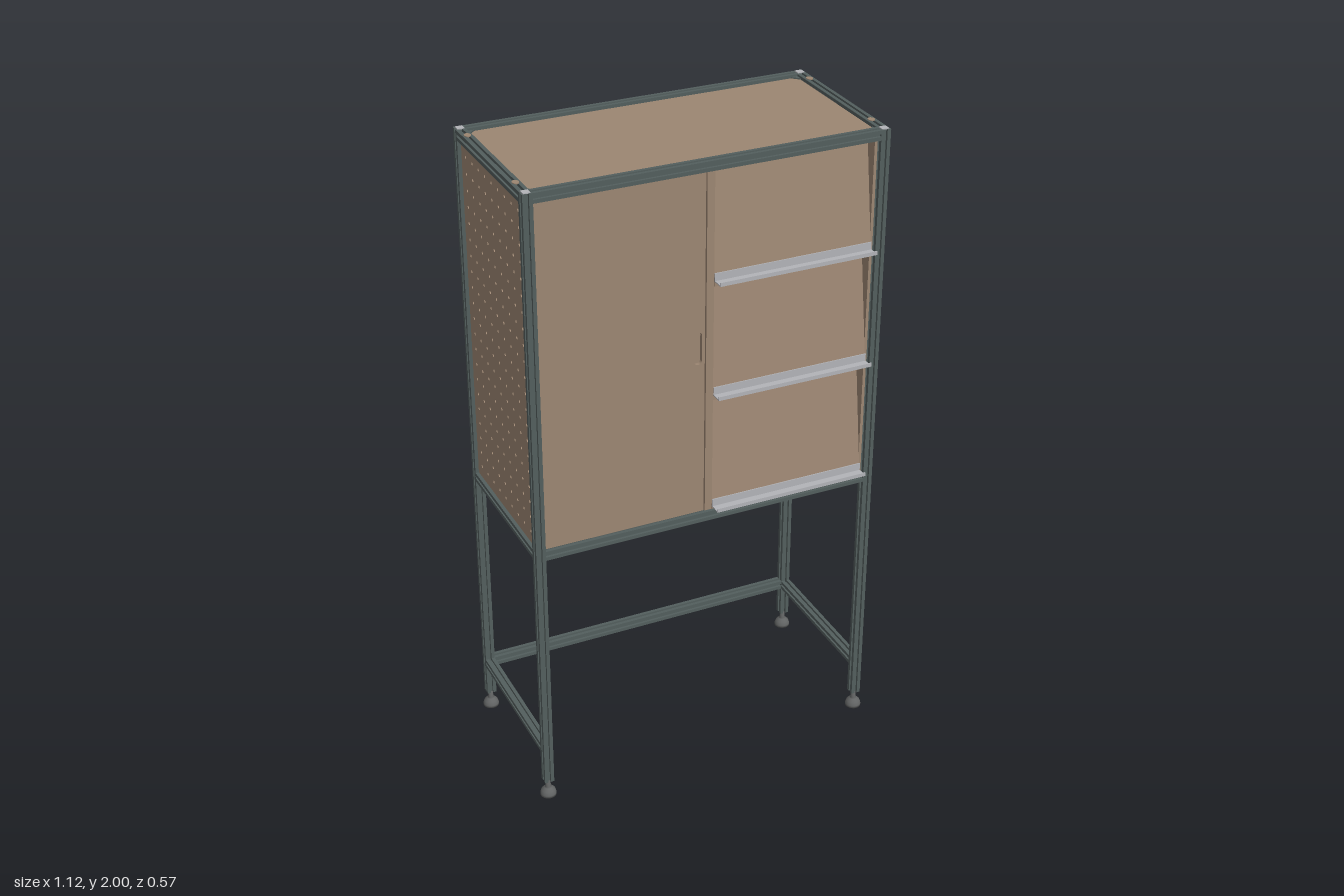
import * as THREE from 'three';

const mat = (name, color) => {
  const m = new THREE.MeshStandardMaterial({ color });
  m.name = name;
  return m;
};

export function createModel() {
  const root = new THREE.Group();
  root.name = 'cabinetOnStand';
  const frameMat = mat('darkFrame', 0x535e5d);
  const boardMat = mat('brownBoard', 0x9c8672);
  const lipMat = mat('lightGrey', 0xb2b3b8);
  const footMat = mat('footGrey', 0x626464);
  const boltMat = mat('black', 0x1c1e1e);

  const X = 0.535, ZF = 0.241, ZB = -0.258, ZC = (ZF + ZB) / 2, W = 0.03;
  const innerX = 2 * X - W, innerZ = ZF - ZB - W;

  const add = (name, geo, material, x = 0, y = 0, z = 0) => {
    const m = new THREE.Mesh(geo, material);
    m.name = name;
    m.position.set(x, y, z);
    root.add(m);
    return m;
  };
  const box = (name, material, x0, x1, y0, y1, z0, z1) =>
    add(name, new THREE.BoxGeometry(x1 - x0, y1 - y0, z1 - z0), material,
      (x0 + x1) / 2, (y0 + y1) / 2, (z0 + z1) / 2);

  // Square bar section with a groove in each side
  const h = W / 2, s = 0.004, d = 0.008;
  const quarter = [[-h, -h], [-s, -h], [-s, -h + d], [s, -h + d], [s, -h]];
  const section = new THREE.Shape();
  for (let k = 0; k < 4; k++) {
    const c = [1, 0, -1, 0][k], n = [0, 1, 0, -1][k];
    quarter.forEach(([x, y], i) => {
      const px = x * c - y * n, py = x * n + y * c;
      if (k === 0 && i === 0) section.moveTo(px, py);
      else section.lineTo(px, py);
    });
  }
  section.closePath();
  const bar = (name, axis, length, x, y, z) => {
    const g = new THREE.ExtrudeGeometry(section, { depth: length, bevelEnabled: false });
    g.translate(0, 0, -length / 2);
    if (axis === 'x') g.rotateY(Math.PI / 2);
    if (axis === 'y') g.rotateX(-Math.PI / 2);
    return add(name, g, frameMat, x, y, z);
  };

  // Posts with end caps and levelling feet
  const footProfile = [[0, 0], [0.025, 0], [0.025, 0.008], [0.021, 0.019], [0.012, 0.027],
    [0.008, 0.03], [0.008, 0.056], [0, 0.056]].map(p => new THREE.Vector2(...p));
  for (const x of [-X, X]) for (const z of [ZF, ZB]) {
    bar('post', 'y', 1.943, x, 0.055 + 1.943 / 2, z);
    box('postCap', lipMat, x - 0.011, x + 0.011, 1.997, 2, z - 0.011, z + 0.011);
    add('foot', new THREE.LatheGeometry(footProfile, 20), footMat, x, 0, z);
  }

  // Rails; the stand is open at the front
  for (const y of [0.175, 0.875, 1.983]) {
    for (const x of [-X, X]) bar('sideRail', 'z', innerZ, x, y, ZC);
    bar('backRail', 'x', innerX, 0, y, ZB);
    if (y > 0.5) bar('frontRail', 'x', innerX, 0, y, ZF);
  }
  bar('centreRail', 'z', innerZ, 0, 0.875, ZC);

  // Plugs on the top side rails
  for (const x of [-X, X]) for (const z of [-0.195, 0.17]) {
    const plug = add('railPlug', new THREE.CylinderGeometry(0.01, 0.01, 0.003, 16), boardMat, x, 1.9985, z);
    plug.scale.z = 1.25;
  }

  // Fixed boards held in the frame grooves
  const t = 0.004, x1 = X - h + 0.004, y0 = 0.886, y1 = 1.972;
  const zb = ZB + h - 0.004, zf = ZF - h + 0.004;
  box('topBoard', boardMat, -x1, x1, 1.981, 1.988, zb, zf);
  box('bottomBoard', boardMat, -x1, x1, 0.872, 0.879, zb, zf);
  box('backBoard', boardMat, -x1, x1, y0, y1, ZB - t, ZB + t);
  box('rightBoard', boardMat, X - t, X + t, y0, y1, zb, zf);

  // Corner gussets above the top board
  const tri = new THREE.Shape([[0, 0], [0.022, 0], [0, 0.022]].map(p => new THREE.Vector2(...p)));
  [[-1, ZB + h, 0], [-1, ZF - h, 1], [1, ZF - h, 2], [1, ZB + h, 3]].forEach(([sx, z, k]) => {
    const g = new THREE.ExtrudeGeometry(tri, { depth: 0.004, bevelEnabled: false });
    g.rotateX(Math.PI / 2);
    g.rotateY(k * Math.PI / 2);
    add('cornerGusset', g, frameMat, sx * (X - h), 1.992, z);
  });

  // Perforated board on the other side
  const peg = new THREE.Shape();
  const ph = (y1 - y0) / 2, pw = (zf - zb) / 2;
  peg.moveTo(-pw, -ph).lineTo(pw, -ph).lineTo(pw, ph).lineTo(-pw, ph).closePath();
  for (let i = -4; i <= 4; i++) for (let j = -10; j <= 10; j++) {
    const hole = new THREE.Path();
    hole.absarc(i * 0.05, j * 0.05, 0.005, 0, Math.PI * 2, true);
    peg.holes.push(hole);
  }
  const pegGeo = new THREE.ExtrudeGeometry(peg, { depth: 2 * t, bevelEnabled: false, curveSegments: 8 });
  pegGeo.translate(0, 0, -t);
  pegGeo.rotateY(Math.PI / 2);
  add('perforatedBoard', pegGeo, boardMat, -X, (y0 + y1) / 2, ZC);

  // Bolts through the plain side board
  for (const y of [1.9, 1.55, 1.19]) for (const z of [0.1, -0.107]) {
    add('sideBolt', new THREE.CylinderGeometry(0.006, 0.006, 0.022, 10), boltMat, X + 0.001, y, z)
      .rotation.z = Math.PI / 2;
  }

  // Upright board between door and display
  box('divider', boardMat, -0.011, 0.012, 0.89, 1.968, ZB + t, ZF + 0.004);

  // Door with a rounded finger slot
  const door = new THREE.Shape();
  door.moveTo(-0.52, 0.892).lineTo(-0.015, 0.892).lineTo(-0.015, 1.968).lineTo(-0.52, 1.968).closePath();
  const grip = new THREE.Path();
  grip.absarc(-0.036, 1.472, 0.012, 0, Math.PI, false);
  grip.absarc(-0.036, 1.393, 0.012, Math.PI, Math.PI * 2, false);
  grip.closePath();
  door.holes.push(grip);
  add('door', new THREE.ExtrudeGeometry(door, { depth: 0.012, bevelEnabled: false }), boardMat, 0, 0, ZF - 0.008);
  box('gripBack', boardMat, -0.055, -0.017, 1.36, 1.505, ZF - 0.012, ZF - 0.008);

  // Display: leaning boards, each with a ledge and a lip at its foot
  const a = 0.013, b = 0.511;
  box('displaySide', boardMat, b, 0.52, 0.89, 1.968, ZB + t, ZF - 0.004);
  [[0.897, 1.255], [1.272, 1.613], [1.632, 1.968]].forEach(([lo, hi]) => {
    const lean = 0.05, g = new THREE.BoxGeometry(b - a, hi - lo, 0.008);
    const p = g.attributes.position;
    for (let i = 0; i < p.count; i++) p.setZ(i, p.getZ(i) - lean * (p.getY(i) / (hi - lo) + 0.5));
    g.computeVertexNormals();
    add('leaningBoard', g, boardMat, (a + b) / 2, (lo + hi) / 2, ZF);
    box('shelfEdge', boardMat, a, b, lo - 0.016, lo, 0.05, ZF + 0.003);
    box('ledge', lipMat, a, b, lo, lo + 0.003, ZF, 0.283);
    box('ledgeBack', lipMat, a, b, lo, lo + 0.026, ZF + 0.004, ZF + 0.007);
    box('ledgeLip', lipMat, a, b, lo, lo + 0.012, 0.28, 0.283);
  });

  return root;
}
